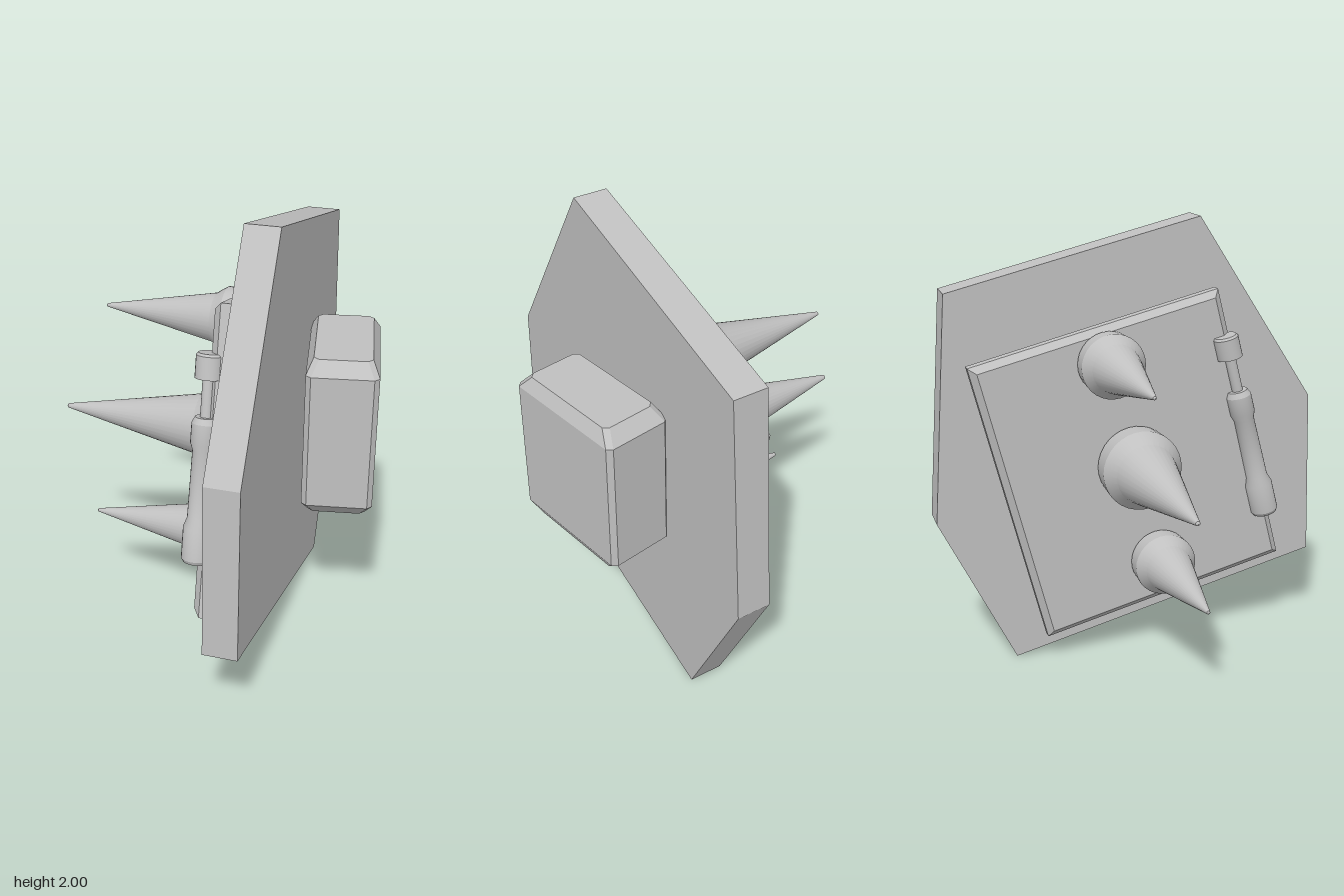
import * as THREE from 'three';
import { toCreasedNormals } from 'three/addons/utils/BufferGeometryUtils.js';
import { ConvexGeometry } from 'three/addons/geometries/ConvexGeometry.js';

const steel = new THREE.MeshStandardMaterial({ color: 0xc0c0c0 });
steel.name = 'steel grey';

const TURN = -Math.PI / 18; // plate yaw
const TILT = -THREE.MathUtils.degToRad(14); // panel and piston lean

function add(parent, name, geometry) {
  const mesh = new THREE.Mesh(geometry, steel);
  mesh.name = name;
  parent.add(mesh);
  return mesh;
}

// Slab outlined by [z, y] points, thickened along +x from x = 0
function slab(points, depth, bevel = 0) {
  const shape = new THREE.Shape(points.map(([z, y]) => new THREE.Vector2(-z, y)));
  const geometry = new THREE.ExtrudeGeometry(shape, {
    depth: depth - 2 * bevel,
    bevelEnabled: bevel > 0,
    bevelThickness: bevel,
    bevelSize: bevel,
    bevelOffset: -bevel,
    bevelSegments: 1,
  });
  return geometry.translate(0, 0, bevel).rotateY(Math.PI / 2);
}

// Turned part from [radius, height] points
function turned(points, sides) {
  const profile = points.map(([r, h]) => new THREE.Vector2(r, h));
  return toCreasedNormals(new THREE.LatheGeometry(profile, sides), 0.45);
}

// Block with chamfered corners and a tapered top and bottom
function chamferedBlock(w, h, d) {
  const points = [];
  const rings = [[0, 0.03, 0.055], [0.06, 0, 0], [h - 0.06, 0, 0], [h, 0.03, 0.055]];
  for (const [y, insetX, insetZ] of rings) {
    const x = w / 2 - insetX, z = d / 2 - insetZ;
    for (const sx of [-1, 1]) {
      for (const sz of [-1, 1]) {
        points.push(new THREE.Vector3(sx * x, y, sz * (z - 0.02)));
        points.push(new THREE.Vector3(sx * (x - 0.022), y, sz * z));
      }
    }
  }
  return new ConvexGeometry(points);
}

export function createModel() {
  const model = new THREE.Group();
  model.name = 'spikedArmourPlate';

  const armour = new THREE.Group();
  armour.name = 'armour';
  armour.rotation.y = TURN;
  model.add(armour);

  // Six-sided main plate
  const outline = [
    [0.279, 2.0], [-0.874, 1.715], [-0.95, 0.69],
    [-0.61, 0], [0.851, 0.365], [0.832, 1.14],
  ];
  add(armour, 'mainPlate', slab(outline, 0.15)).position.x = 0.199;

  // Bevelled raised panel
  const w = 0.585, h = 0.665;
  const panel = add(armour, 'raisedPanel', slab([[w, h], [-w, h], [-w, -h], [w, -h]], 0.105, 0.03));
  panel.position.set(0.095, 0.9, -0.07);
  panel.rotation.x = TILT;

  // Three spikes, the middle one larger
  const spikeGeometry = turned([
    [0, 0], [0.14, 0], [0.144, 0.085], [0.132, 0.105], [0.11, 0.136], [0.008, 0.645], [0, 0.65],
  ], 32);
  const spikes = [[1.395, -0.185, 1], [0.92, -0.063, 1.26], [0.45, 0.053, 0.99]];
  spikes.forEach(([y, z, size], i) => {
    const spike = add(armour, 'spike' + (i + 1), spikeGeometry);
    spike.position.set(0.084, y, z);
    spike.rotation.z = Math.PI / 2;
    spike.scale.setScalar(size);
  });

  // Piston with collars, thin rod and end cap
  const piston = add(armour, 'piston', turned([
    [0, 0], [0.055, 0], [0.064, 0.015], [0.064, 0.15], [0.05, 0.19],
    [0.047, 0.48], [0.058, 0.51], [0.058, 0.595], [0.045, 0.62], [0.025, 0.62],
    [0.025, 0.78], [0.058, 0.78], [0.058, 0.875], [0.05, 0.885], [0, 0.885],
  ], 24));
  piston.position.set(0.09, 0.62, 0.575);
  piston.rotation.x = TILT;

  // Mounting block behind the plate
  add(model, 'mountingBlock', chamferedBlock(0.306, 0.73, 0.598)).position.set(0.555, 0.66, -0.052);

  return model;
}
